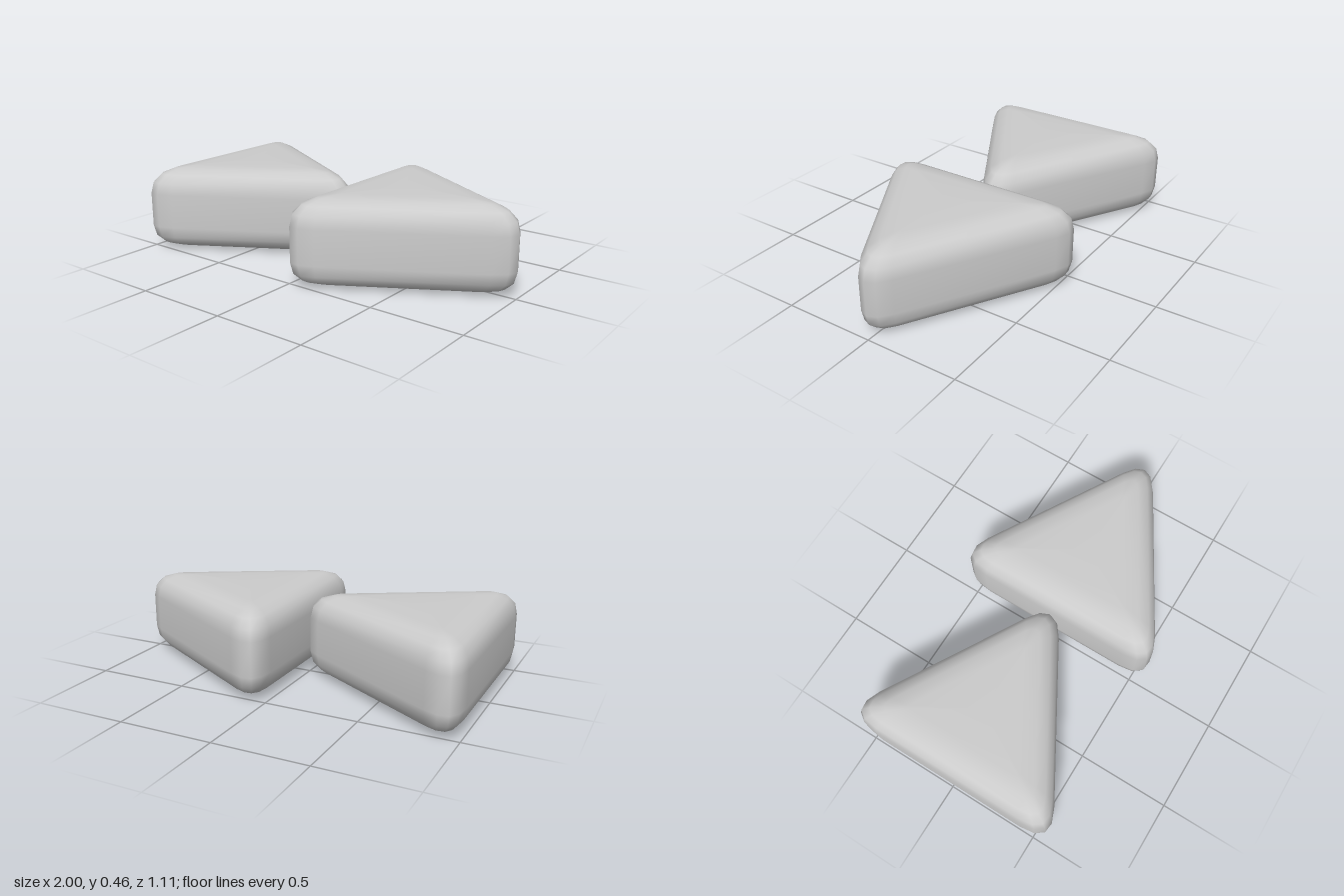
import * as THREE from 'three';

const HEIGHT = 0.46;
const INRADIUS = 0.36; // centre to flat side
const STEPS = 4; // segments per rounding

// Equilateral outline with each corner cut by a quadratic curve of reach t
function outline(inradius, t) {
  const points = [];
  for (let k = 0; k < 3; k++) {
    const a = (k * 2 * Math.PI) / 3;
    const turn = (5 * Math.PI) / 6;
    const corner = new THREE.Vector2(Math.cos(a), Math.sin(a)).multiplyScalar(2 * inradius);
    const along = (angle) => new THREE.Vector2(Math.cos(angle), Math.sin(angle)).multiplyScalar(t).add(corner);
    const curve = new THREE.QuadraticBezierCurve(along(a - turn), corner, along(a + turn));
    points.push(...curve.getPoints(STEPS));
  }
  return points;
}

// Stacked outlines: rounded lower edge, straight sides, rounded upper edge
function wedgeGeometry() {
  const levels = [];
  for (let i = 0; i <= STEPS; i++) {
    const s = i / STEPS;
    levels.push({ s, y: HEIGHT - 0.137 * (1 - s) ** 2 });
    levels.unshift({ s, y: 0.137 * (1 - s) ** 2 });
  }
  const positions = [];
  const index = [];
  const n = 3 * (STEPS + 1);
  for (const { s, y } of levels) {
    const t = Math.max(0.2 * (1 - s * s), 0.02);
    for (const p of outline(INRADIUS - 0.17 * s * s, t)) positions.push(p.x, y, -p.y);
  }
  const last = (levels.length - 1) * n;
  const bottom = levels.length * n;
  positions.push(0, 0, 0, 0, HEIGHT, 0);
  for (let j = 0; j < n; j++) {
    const k = (j + 1) % n;
    for (let r = 0; r < last; r += n) {
      index.push(r + j, r + k, r + n + k, r + j, r + n + k, r + n + j);
    }
    index.push(bottom, k, j, bottom + 1, last + j, last + k);
  }
  const geometry = new THREE.BufferGeometry();
  geometry.setAttribute('position', new THREE.Float32BufferAttribute(positions, 3));
  geometry.setIndex(index);
  geometry.computeVertexNormals();
  return geometry;
}

export function createModel() {
  const group = new THREE.Group();
  group.name = 'arrowPair';
  const geometry = wedgeGeometry();
  const material = new THREE.MeshStandardMaterial({ color: 0xcccccc });
  // Two identical wedges, both pointing to +x
  for (const [name, x] of [['rightWedge', -0.64], ['leftWedge', 0.3666]]) {
    const wedge = new THREE.Mesh(geometry, material);
    wedge.name = name;
    wedge.position.x = x;
    group.add(wedge);
  }
  return group;
}
